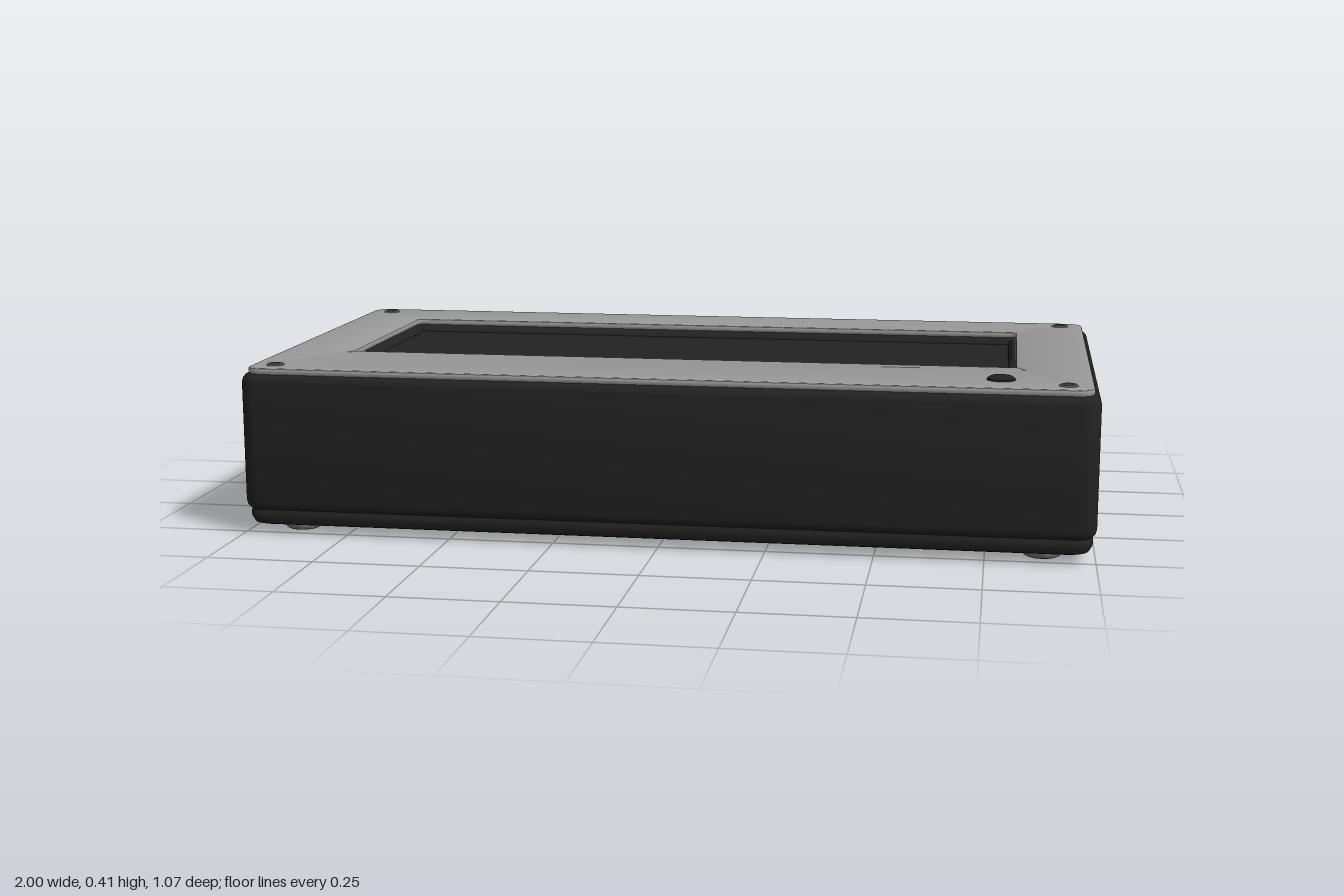
import * as THREE from 'three';
import { toCreasedNormals } from 'three/addons/utils/BufferGeometryUtils.js';

const material = (name, color) => {
  const m = new THREE.MeshStandardMaterial({ color });
  m.name = name;
  return m;
};

// Adds a rounded rectangle, given by its edges, to a Shape or Path
function roundRect(path, x0, x1, y0, y1, r) {
  path.moveTo(x0 + r, y0);
  path.lineTo(x1 - r, y0);
  path.absarc(x1 - r, y0 + r, r, -Math.PI / 2, 0);
  path.lineTo(x1, y1 - r);
  path.absarc(x1 - r, y1 - r, r, 0, Math.PI / 2);
  path.lineTo(x0 + r, y1);
  path.absarc(x0 + r, y1 - r, r, Math.PI / 2, Math.PI);
  path.lineTo(x0, y0 + r);
  path.absarc(x0 + r, y0 + r, r, Math.PI, Math.PI * 1.5);
  return path;
}

// Horizontal slab from y0 to y1, its outer size halfX by halfZ after the bevel
function slab(halfX, halfZ, radius, y0, y1, bevelSize, bevelThickness, bevelSegments, hole) {
  const x = halfX - bevelSize, z = halfZ - bevelSize;
  const shape = roundRect(new THREE.Shape(), -x, x, -z, z, radius);
  if (hole) shape.holes.push(roundRect(new THREE.Path(), ...hole));
  const g = new THREE.ExtrudeGeometry(shape, {
    depth: y1 - y0 - 2 * bevelThickness, bevelEnabled: true,
    bevelSize, bevelThickness, bevelSegments, curveSegments: 8,
  });
  g.rotateX(-Math.PI / 2).translate(0, y0 + bevelThickness, 0);
  return toCreasedNormals(g, 0.6);
}

const lathe = (points, segments = 28) => toCreasedNormals(
  new THREE.LatheGeometry(points.map(([x, y]) => new THREE.Vector2(x, y)), segments), 0.6);

export function createModel() {
  const group = new THREE.Group();
  const black = material('blackPlastic', 0x222222);
  const slotBlack = material('slotBlack', 0x161616);
  const glass = material('screenGlass', 0x222222);
  const grey = material('greyPlate', 0x999999);
  const steel = material('screwSteel', 0x555555);
  const rubber = material('footGrey', 0x777777);

  const add = (name, geometry, mat, x = 0, y = 0, z = 0) => {
    const mesh = new THREE.Mesh(geometry, mat);
    mesh.name = name;
    mesh.position.set(x, y, z);
    group.add(mesh);
    return mesh;
  };

  // Housing with the bevelled screen opening (shape y is -z)
  add('housing', slab(1, 0.535, 0.03, 0.058, 0.386, 0.02, 0.022, 3,
    [-0.81, 0.81, -0.228, 0.333, 0.012]), black);
  // Base tray, tapered underneath and set off by a groove
  add('baseTray', slab(0.992, 0.528, 0.025, 0.02, 0.072, 0.028, 0.02, 2), black);
  // Top plate
  add('topPlate', slab(0.985, 0.52, 0.035, 0.384, 0.4, 0.005, 0.005, 2,
    [-0.815, 0.815, -0.233, 0.338, 0.015]), grey);
  // Screen
  add('screen', new THREE.BoxGeometry(1.62, 0.008, 0.56), glass, 0, 0.366, -0.052);

  // Corner screws with a socket, and feet
  const screw = lathe([[0, 0.0005], [0.009, 0.0005], [0.01, 0.004], [0.018, 0.004], [0.022, 0]].reverse(), 20);
  const foot = lathe([[0, 0], [0.036, 0], [0.042, 0.003], [0.046, 0.01], [0.046, 0.024]]);
  for (const sx of [-1, 1]) {
    for (const sz of [-1, 1]) {
      add('screw', screw, steel, sx * 0.927, 0.4, sz * 0.463);
      add('foot', foot, rubber, sx * 0.88, 0, sz * 0.432);
    }
  }

  // Push button
  add('button', lathe([[0.033, 0], [0.032, 0.004], [0.024, 0.009], [0.012, 0.011], [0, 0.0115]]),
    black, 0.777, 0.4, 0.405);

  // Seven ventilation slots on each side
  const slotShape = roundRect(new THREE.Shape(), -0.0085, 0.0085, -0.06, 0.06, 0.008);
  const slot = new THREE.ExtrudeGeometry(slotShape, { depth: 0.004, bevelEnabled: false, curveSegments: 6 });
  for (const side of [-1, 1]) {
    for (let i = 0; i < 7; i++) {
      const mesh = add('ventSlot', slot, slotBlack, side * 0.9975, 0.22, 0.07 - i * 0.0385);
      mesh.rotation.y = side * Math.PI / 2;
    }
  }
  return group;
}
